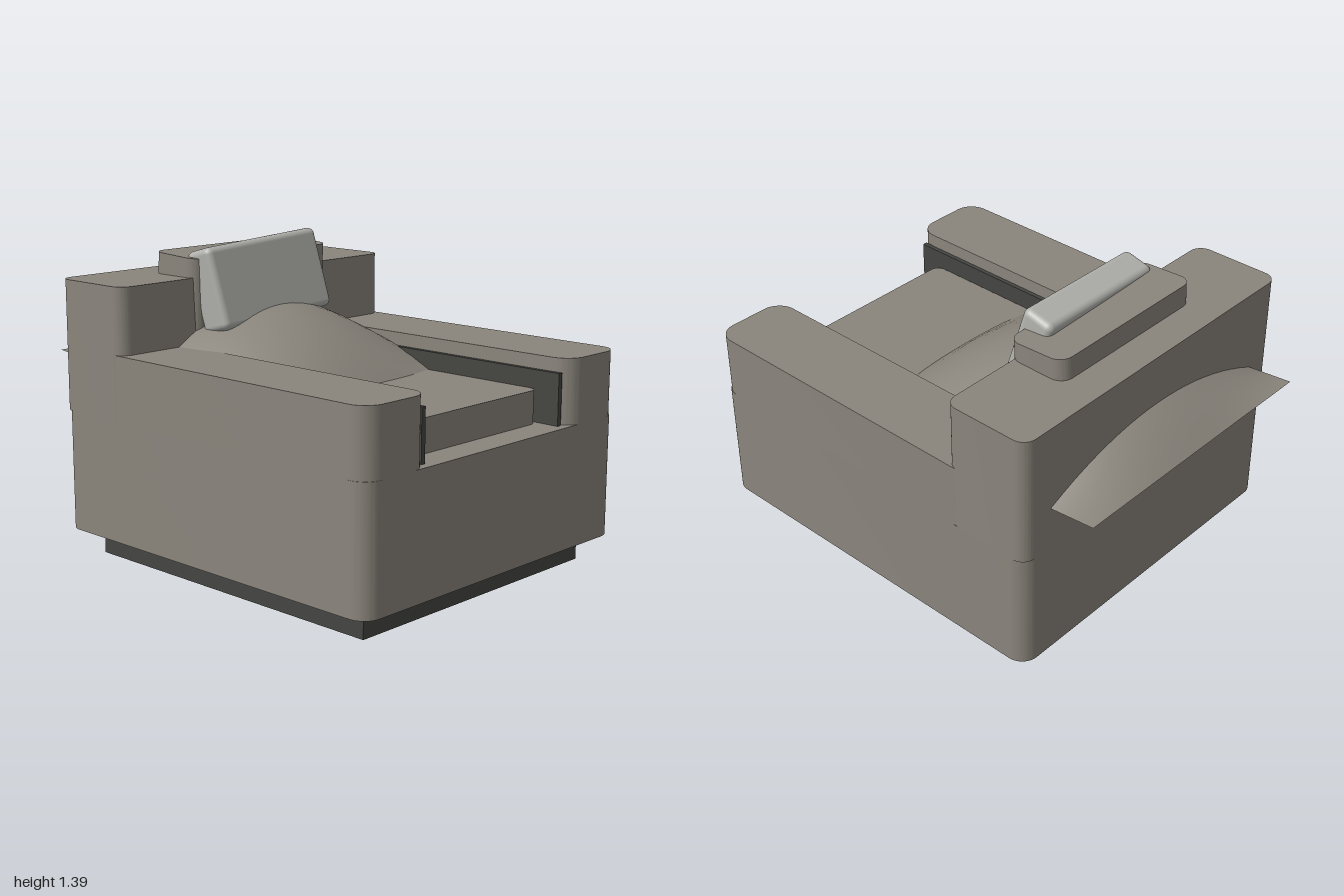
import * as THREE from 'three';
import { toCreasedNormals } from 'three/addons/utils/BufferGeometryUtils.js';
import { RoundedBoxGeometry } from 'three/addons/geometries/RoundedBoxGeometry.js';

const fabric = new THREE.MeshStandardMaterial({ color: 0x8a857c });
const fabricSheet = new THREE.MeshStandardMaterial({ color: 0x8a857c, side: THREE.DoubleSide });
const light = new THREE.MeshStandardMaterial({ color: 0xb0b0ac });
const dark = new THREE.MeshStandardMaterial({ color: 0x454542 });

// Upright block with rounded vertical corners, given by its limits
function block(x0, x1, y0, y1, z0, z1, r) {
  const s = new THREE.Shape();
  const a = -z1, b = -z0; // shape y becomes -z once laid flat
  s.moveTo(x0 + r, a);
  s.lineTo(x1 - r, a);
  s.absarc(x1 - r, a + r, r, -Math.PI / 2, 0);
  s.lineTo(x1, b - r);
  s.absarc(x1 - r, b - r, r, 0, Math.PI / 2);
  s.lineTo(x0 + r, b);
  s.absarc(x0 + r, b - r, r, Math.PI / 2, Math.PI);
  s.lineTo(x0, a + r);
  s.absarc(x0 + r, a + r, r, Math.PI, Math.PI * 1.5);
  const g = new THREE.ExtrudeGeometry(s, { depth: y1 - y0, bevelEnabled: false, curveSegments: 8 });
  g.rotateX(-Math.PI / 2);
  g.translate(0, y0, 0);
  return toCreasedNormals(g, 0.6);
}

// Domed lumbar cushion: a gently sloping flat sheet with a swollen top
function domeSheet(swell) {
  const w = 0.65, zMid = -0.32, half = 0.68;
  const g = new THREE.PlaneGeometry(2, 2, 20, 20);
  g.rotateX(-Math.PI / 2);
  const p = g.attributes.position;
  for (let i = 0; i < p.count; i++) {
    const u = p.getX(i), v = p.getZ(i);
    const z = zMid + v * half;
    const y = 0.87 - 0.095 * (z + 1) + swell * (1 - u * u) * (1 - v * v);
    p.setXYZ(i, u * w, y, z);
  }
  g.computeVertexNormals();
  return g;
}

export function createModel() {
  const model = new THREE.Group();
  const add = (name, geometry, material = fabric) => {
    const m = new THREE.Mesh(geometry, material);
    m.name = name;
    model.add(m);
    return m;
  };

  // Recessed plinth
  const plinth = add('plinth', new THREE.BoxGeometry(1.38, 0.12, 1.56), dark);
  plinth.position.set(0, 0.06, 0.11);

  // Body and backrest
  add('base', block(-0.8, 0.8, 0.12, 0.655, -0.79, 1, 0.08));
  add('backrest', block(-0.8, 0.8, 0.655, 1.23, -0.79, -0.38, 0.06));

  // Arms with thin inner panels
  for (const [side, s] of [['left', 1], ['right', -1]]) {
    const limits = s > 0 ? [0.445, 0.8] : [-0.8, -0.445];
    add(side + 'Arm', block(...limits, 0.655, 0.94, -0.5, 1, 0.09));
    const panel = add(side + 'InnerPanel', new THREE.BoxGeometry(0.022, 0.225, 1.36), dark);
    panel.position.set(s * 0.436, 0.7675, 0.28);
  }

  // Cushions
  add('seatCushion', block(-0.42, 0.42, 0.655, 0.8, -0.42, 0.86, 0.045));
  add('lumbarCushionTop', domeSheet(0.295), fabricSheet);
  add('lumbarCushionBottom', domeSheet(0), fabricSheet);
  const back = add('backCushion', block(-0.41, 0.41, -0.24, 0.21, -0.14, 0.14, 0.06));
  back.position.set(0, 1.11, -0.5);
  back.rotation.x = 0.05;

  // Leaning throw pillow
  const pillow = add('throwPillow', new RoundedBoxGeometry(0.69, 0.365, 0.15, 4, 0.03), light);
  pillow.position.set(-0.03, 1.19, -0.345);
  pillow.rotation.set(-0.27, 0.03, 0.06);

  return model;
}
